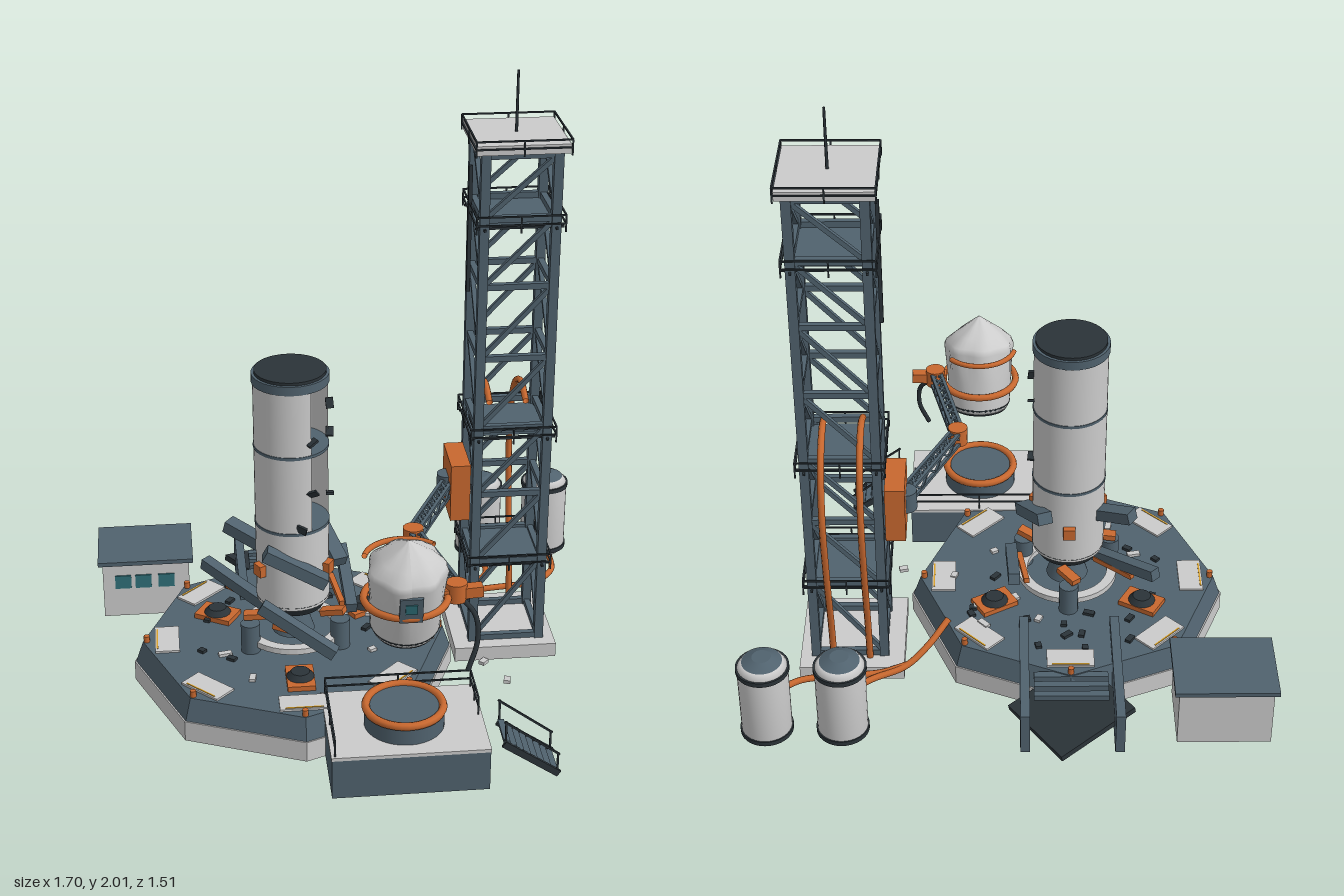
import * as THREE from 'three';

const mat = (color) => new THREE.MeshStandardMaterial({ color, side: THREE.DoubleSide });
const GREY = mat(0xcccccc), SLATE = mat(0x50626e), DARK = mat(0x2b3338), ORANGE = mat(0xc8682f);
const TEAL = mat(0x2f6f78), YELLOW = mat(0xd9a028);
const V = (x, y, z) => new THREE.Vector3(x, y, z);
const rad = THREE.MathUtils.degToRad;

function add(parent, name, geo, material, x = 0, y = 0, z = 0) {
  const m = new THREE.Mesh(geo, material);
  m.name = name;
  m.position.set(x, y, z);
  parent.add(m);
  return m;
}
function group(parent, name, x = 0, y = 0, z = 0) {
  const g = new THREE.Group();
  g.name = name;
  g.position.set(x, y, z);
  parent.add(g);
  return g;
}
// box given by its two extreme corners
const block = (p, name, m, x0, x1, y0, y1, z0, z1) =>
  add(p, name, new THREE.BoxGeometry(x1 - x0, y1 - y0, z1 - z0), m, (x0 + x1) / 2, (y0 + y1) / 2, (z0 + z1) / 2);
const drum = (p, name, m, r0, r1, y0, y1, x = 0, z = 0, n = 32) =>
  add(p, name, new THREE.CylinderGeometry(r1, r0, y1 - y0, n), m, x, (y0 + y1) / 2, z);
// square bar between two points
function beam(p, name, m, a, b, w, d = w) {
  const bar = add(p, name, new THREE.BoxGeometry(w, d, a.distanceTo(b)), m);
  bar.position.copy(a).lerp(b, 0.5);
  bar.up.set(0, Math.abs(b.y - a.y) > 0.99 * a.distanceTo(b) ? 0 : 1, 0.01);
  bar.lookAt(b);
  return bar;
}
const hose = (p, name, m, pts, r) =>
  add(p, name, new THREE.TubeGeometry(new THREE.CatmullRomCurve3(pts.map((q) => V(...q))), 36, r, 8), m);
// handrail along a list of floor corners
function railing(p, pts, y, h) {
  const g = group(p, 'railing');
  pts.forEach(([x, z], i) => {
    beam(g, 'railPost', DARK, V(x, y, z), V(x, y + h, z), 0.005);
    if (!i) return;
    const [px, pz] = pts[i - 1];
    for (const k of [0.5, 1]) beam(g, 'rail', DARK, V(px, y + h * k, pz), V(x, y + h * k, z), 0.005);
    beam(g, 'railPost', DARK, V((x + px) / 2, y, (z + pz) / 2), V((x + px) / 2, y + h, (z + pz) / 2), 0.005);
  });
}
const square = (x, z, h) => [[x - h, z - h], [x + h, z - h], [x + h, z + h], [x - h, z + h], [x - h, z - h]];

function buildPad(root) {
  const pad = group(root, 'launchPad', -0.2, 0, 0);
  const oct = (name, m, r0, r1, y0, y1) =>
    add(pad, name, new THREE.CylinderGeometry(r1, r0, y1 - y0, 8).toNonIndexed(), m, 0, (y0 + y1) / 2, 0).geometry.computeVertexNormals();
  oct('padBase', GREY, 0.53, 0.53, 0, 0.07);
  oct('padDeck', SLATE, 0.525, 0.5, 0.07, 0.143);
  for (let i = 0; i < 8; i++) {
    const arm = group(pad, 'deckSector');
    arm.rotation.y = i * Math.PI / 4;
    block(arm, 'deckPlate', GREY, -0.077, 0.077, 0.14, 0.15, 0.38, 0.46);
    block(arm, 'hazardStripe', YELLOW, -0.06, 0.06, 0.15, 0.152, 0.45, 0.455);
    drum(arm, 'padLight', ORANGE, 0.01, 0.01, 0.14, 0.165, 0, 0.487, 8);
  }
  // flame trench running off the back
  const trench = group(root, 'flameTrench', -0.2, 0, 0);
  for (const s of [-1, 1]) block(trench, 'trenchWall', SLATE, s * 0.15 - 0.015, s * 0.15 + 0.015, 0.02, 0.17, -0.72, -0.24);
  beam(trench, 'trenchFloor', DARK, V(0, 0.12, -0.44), V(0, 0.03, -0.72), 0.29, 0.02);
  for (const z of [-0.58, -0.535, -0.49]) block(trench, 'trenchBar', SLATE, -0.12, 0.12, 0.12, 0.14, z - 0.012, z + 0.012);
}

function buildBooster(root) {
  const b = group(root, 'booster', -0.2, 0, 0);
  // hull with a torn opening in its upper part
  const open = (name, y0, y1, r0, r1, t0, len) =>
    add(b, name, new THREE.CylinderGeometry(r1, r0, y1 - y0, 40, 1, true, rad(t0), rad(len)), GREY, 0, (y0 + y1) / 2, 0);
  open('lowerHull', 0.3, 0.58, 0.12, 0.12, 0, 360);
  open('upperHull', 0.58, 1.075, 0.12, 0.12, 95, 293);
  for (const y of [0.58, 0.85]) drum(b, 'bulkhead', SLATE, 0.122, 0.122, y - 0.005, y + 0.005);
  drum(b, 'topCap', SLATE, 0.124, 0.124, 1.07, 1.1);
  drum(b, 'topLid', DARK, 0.115, 0.115, 1.1, 1.11);
  drum(b, 'engineSkirt', DARK, 0.1, 0.121, 0.27, 0.31);
  drum(b, 'engineBell', SLATE, 0.07, 0.035, 0.17, 0.28);
  [[0.9, 28], [0.98, 95], [0.72, 28], [0.66, 95], [0.88, 95], [0.6, 10]].forEach(([y, a], i) => {
    const flap = add(b, 'tornFlap', new THREE.BoxGeometry(0.035, 0.008, 0.025), DARK, 0.125 * Math.sin(rad(a)), y, 0.125 * Math.cos(rad(a)));
    flap.rotation.set(i, rad(a), 0.5 - i * 0.2);
  });
  // mount ring
  const ring = new THREE.Shape().absarc(0, 0, 0.168, 0, Math.PI * 2);
  ring.holes.push(new THREE.Path().absarc(0, 0, 0.135, 0, Math.PI * 2, true));
  add(b, 'mountRing', new THREE.ExtrudeGeometry(ring, { depth: 0.02, bevelEnabled: false, curveSegments: 20 }), GREY, 0, 0.165, 0).rotation.x = -Math.PI / 2;
  for (let i = 0; i < 3; i++) {
    const leg = group(b, 'landingLeg');
    leg.rotation.y = i * Math.PI * 2 / 3;
    beam(leg, 'legFairing', SLATE, V(0, 0.58, 0.118), V(0, 0.36, 0.152), 0.05, 0.04);
    beam(leg, 'legStrut', SLATE, V(0, 0.41, 0.145), V(0, 0.165, 0.285), 0.038);
    beam(leg, 'legBrace', ORANGE, V(0, 0.29, 0.1), V(0, 0.22, 0.25), 0.018);
    block(leg, 'footBase', ORANGE, -0.045, 0.045, 0.143, 0.16, 0.22, 0.35);
    drum(leg, 'foot', DARK, 0.045, 0.03, 0.16, 0.178, 0, 0.285, 16);
    const clamp = group(b, 'holdDown');
    clamp.rotation.y = (i + 0.5) * Math.PI * 2 / 3;
    drum(clamp, 'holdDownPost', SLATE, 0.032, 0.032, 0.143, 0.245, 0, 0.17, 16);
    beam(clamp, 'holdDownClaw', ORANGE, V(0, 0.245, 0.18), V(0, 0.29, 0.11), 0.035, 0.02);
    block(clamp, 'hullHinge', ORANGE, -0.02, 0.02, 0.41, 0.45, 0.11, 0.14);
  }
}

function buildTower(root) {
  const cx = 0.525, cz = -0.17, h = 0.113;
  const t = group(root, 'serviceTower');
  block(t, 'towerBase', GREY, 0.345, 0.69, 0, 0.05, -0.355, 0);
  const corners = [[1, 1], [1, -1], [-1, -1], [-1, 1]].map(([a, c]) => [cx + a * h, cz + c * h]);
  const levels = [0.06, 0.355, 0.605, 0.845, 1.09, 1.335, 1.56, 1.765];
  corners.forEach(([x, z], i) => {
    block(t, 'column', SLATE, x - 0.015, x + 0.015, 0.05, 1.77, z - 0.015, z + 0.015);
    const [nx, nz] = corners[(i + 1) % 4];
    levels.forEach((y, k) => {
      beam(t, 'crossBeam', SLATE, V(x, y, z), V(nx, y, nz), 0.02);
      if (k) {
        const up = i === 0 || i === 3 ? [x, z, nx, nz] : [nx, nz, x, z];
        const [ax, az, bx, bz] = i === 3 ? [up[2], up[3], up[0], up[1]] : up;
        const flip = i === 3;
        beam(t, 'diagonal', SLATE, V(flip ? bx : ax, levels[k - 1], flip ? bz : az), V(flip ? ax : bx, y, flip ? az : bz), 0.015);
      }
    });
  });
  for (const y of [0.355, 0.825, 1.55]) {
    block(t, 'platform', SLATE, cx - 0.11, cx + 0.11, y - 0.01, y, cz - 0.11, cz + 0.11);
    railing(t, square(cx, cz, 0.14), y - 0.03, 0.055);
    for (const s of [-1, 1]) {
      beam(t, 'railBracket', DARK, V(cx - 0.14, y - 0.02, cz + s * h), V(cx + 0.14, y - 0.02, cz + s * h), 0.007);
      beam(t, 'railBracket', DARK, V(cx + s * h, y - 0.02, cz - 0.14), V(cx + s * h, y - 0.02, cz + 0.14), 0.007);
    }
  }
  block(t, 'roof', GREY, cx - 0.145, cx + 0.145, 1.775, 1.805, cz - 0.145, cz + 0.145);
  railing(t, square(cx, cz, 0.148), 1.77, 0.05);
  drum(t, 'antenna', DARK, 0.005, 0.004, 1.8, 2, cx, cz, 8);
  // ladder on the outer side
  for (const s of [-1, 1]) beam(t, 'ladderRail', DARK, V(0.66, 0.05, cz + s * 0.03), V(0.66, 1.75, cz + s * 0.03), 0.006);
  for (let y = 0.08; y < 1.75; y += 0.04) beam(t, 'ladderRung', DARK, V(0.66, y, cz - 0.03), V(0.66, y, cz + 0.03), 0.006);
  beam(t, 'conduit', DARK, V(0.385, 1.28, cz), V(0.385, 1.7, cz), 0.012);
  // looping supply pipes
  for (const x of [0.46, 0.58])
    hose(t, 'supplyPipe', ORANGE, [[x, 0.9, -0.13], [x, 0.93, -0.22], [x, 0.87, -0.34], [x, 0.7, -0.4], [x, 0.45, -0.375], [x, 0.2, -0.32], [x, 0.05, -0.3]], 0.011);
}

function buildArm(root) {
  const arm = group(root, 'serviceArm');
  block(arm, 'armBracket', ORANGE, 0.33, 0.395, 0.5, 0.7, -0.255, -0.075);
  const pts = [V(0.34, 0.6, -0.16), V(0.17, 0.6, 0.195), V(0.255, 0.6, 0.55)];
  drum(arm, 'shoulder', SLATE, 0.035, 0.035, 0.565, 0.635, 0.33, -0.16, 16);
  for (const p of pts.slice(1)) drum(arm, 'armJoint', ORANGE, 0.033, 0.033, 0.57, 0.63, p.x, p.z, 16);
  for (let s = 0; s < 2; s++) {
    const side = pts[s + 1].clone().sub(pts[s]).cross(V(0, 1, 0)).setLength(0.016);
    const at = (k, w, y) => pts[s].clone().lerp(pts[s + 1], k).addScaledVector(side, w).add(V(0, y, 0));
    for (const w of [-1, 1]) {
      for (const y of [-0.02, 0.02]) beam(arm, 'armChord', SLATE, at(0, w, y), at(1, w, y), 0.011);
      for (let k = 0; k < 8; k++) {
        const d = k % 2 ? 0.02 : -0.02;
        beam(arm, 'armLacing', SLATE, at(k / 8, w, d), at((k + 1) / 8, w, -d), 0.007);
        beam(arm, 'armLacing', SLATE, at(k / 8, w, 0.02), at((k + 1) / 8, -w, 0.02), 0.007);
      }
    }
  }
  // capsule, tilted forward with a crumpled nose
  const c = group(root, 'capsule', 0.1, 0.485, 0.545);
  c.rotation.x = 0.2;
  const prof = [[0, 0], [0.1, 0], [0.106, 0.015], [0.112, 0.12], [0.119, 0.225], [0.112, 0.245], [0.08, 0.275], [0.04, 0.305], [0, 0.335]];
  const geo = new THREE.LatheGeometry(prof.map((q) => new THREE.Vector2(...q)), 40);
  const pos = geo.attributes.position;
  for (let i = 0; i < pos.count; i++) {
    const x = pos.getX(i), y = pos.getY(i), z = pos.getZ(i);
    const k = y > 0.15 ? 1 + 0.05 * Math.sin(7 * Math.atan2(z, x) + y * 30) : 1;
    pos.setXYZ(i, x * k, y, z * k);
  }
  geo.computeVertexNormals();
  add(c, 'capsuleShell', geo, GREY);
  drum(c, 'heatShield', DARK, 0.095, 0.108, -0.008, 0.018);
  block(c, 'hatch', SLATE, -0.035, 0.035, 0.12, 0.21, 0.1, 0.122);
  block(c, 'hatchWindow', TEAL, -0.018, 0.018, 0.155, 0.19, 0.12, 0.125);
  // gripping rings
  const grip = (name, y, r, start, len, tube) => {
    const m = add(arm, name, new THREE.TorusGeometry(r, tube, 8, 36, len), ORANGE, 0.1, y, 0.555);
    m.rotation.set(Math.PI / 2, 0, start);
  };
  grip('gripRing', 0.59, 0.127, 0, Math.PI * 2, 0.012);
  grip('upperGrip', 0.72, 0.125, -2.9, 2.2, 0.009);
  beam(arm, 'gripLink', ORANGE, V(0.215, 0.595, 0.555), V(0.335, 0.6, 0.55), 0.035);
  hose(arm, 'hangingCable', DARK, [[0.27, 0.58, 0.56], [0.31, 0.53, 0.585], [0.315, 0.45, 0.6], [0.285, 0.36, 0.62]], 0.008);
}

function buildGround(root) {
  // capsule stand with drum and stairs
  const s = group(root, 'capsuleStand');
  block(s, 'standBlock', SLATE, -0.14, 0.345, 0, 0.135, 0.37, 0.73);
  block(s, 'standTop', GREY, -0.142, 0.347, 0.135, 0.146, 0.368, 0.732);
  drum(s, 'cradle', SLATE, 0.125, 0.125, 0.146, 0.21, 0.1, 0.56);
  add(s, 'cradleRim', new THREE.TorusGeometry(0.12, 0.013, 8, 36), ORANGE, 0.1, 0.21, 0.56).rotation.x = Math.PI / 2;
  railing(s, [[0.335, 0.38], [-0.13, 0.38], [-0.13, 0.72]], 0.146, 0.06);
  railing(s, [[0.335, 0.38], [0.335, 0.54]], 0.146, 0.06);
  for (let i = 0; i < 8; i++) {
    const x = 0.395 + i * 0.022, y = 0.13 - i * 0.017;
    block(s, 'stairTread', SLATE, x, x + 0.019, y - 0.012, y, 0.55, 0.67);
  }
  for (const z of [0.55, 0.67]) {
    beam(s, 'stairStringer', DARK, V(0.395, 0.12, z), V(0.57, 0, z), 0.01, 0.022);
    beam(s, 'stairRail', DARK, V(0.395, 0.2, z), V(0.57, 0.07, z), 0.006);
    for (const k of [0, 1]) beam(s, 'stairPost', DARK, V(0.4 + k * 0.165, 0.12 - k * 0.11, z), V(0.4 + k * 0.165, 0.2 - k * 0.13, z), 0.006);
  }
  // control hut
  const hut = group(root, 'controlHut');
  block(hut, 'hutWalls', GREY, -0.835, -0.535, 0, 0.205, -0.655, -0.42);
  block(hut, 'hutRoof', SLATE, -0.85, -0.52, 0.205, 0.22, -0.67, -0.405);
  for (const x of [-0.765, -0.695, -0.615]) block(hut, 'hutWindow', TEAL, x - 0.028, x + 0.028, 0.11, 0.16, -0.43, -0.415);
  // propellant tanks
  for (const x of [0.525, 0.765]) {
    const t = group(root, 'tank', x, 0, -0.66);
    const prof = [[0, 0.045], [0.06, 0.05], [0.08, 0.07], [0.08, 0.33], [0.065, 0.352], [0, 0.368]];
    add(t, 'tankShell', new THREE.LatheGeometry(prof.map((q) => new THREE.Vector2(...q)), 32), GREY);
    for (const y of [0.08, 0.325]) drum(t, 'tankBand', DARK, 0.084, 0.084, y - 0.008, y + 0.008);
    drum(t, 'tankCap', SLATE, 0.064, 0.03, 0.352, 0.37);
  }
  hose(root, 'fuelHose', ORANGE, [[0.53, 0.06, -0.6], [0.53, 0.05, -0.5], [0.46, 0.05, -0.42], [0.34, 0.06, -0.36], [0.27, 0.1, -0.31], [0.2, 0.15, -0.23]], 0.011);
  hose(root, 'fuelHose', ORANGE, [[0.78, 0.06, -0.6], [0.77, 0.05, -0.5], [0.69, 0.05, -0.42], [0.55, 0.05, -0.395], [0.42, 0.05, -0.38], [0.33, 0.06, -0.35]], 0.011);
  // scattered debris
  let seed = 7;
  const rnd = () => (seed = (seed * 16807) % 2147483647) / 2147483647;
  for (let i = 0; i < 26; i++) {
    const a = rnd() * 6.28, r = 0.2 + rnd() * 0.2;
    const m = add(root, 'debris', new THREE.BoxGeometry(0.02 + rnd() * 0.025, 0.01, 0.02), i % 3 ? DARK : GREY, -0.2 + r * Math.cos(a), 0.15, r * Math.sin(a));
    m.rotation.y = rnd() * 6;
  }
  for (const [x, z] of [[0.44, 0.02], [0.5, 0.14], [0.37, 0.21]])
    add(root, 'debris', new THREE.BoxGeometry(0.03, 0.012, 0.022), GREY, x, 0.006, z).rotation.y = x * 9;
}

export function createModel() {
  const root = new THREE.Group();
  root.name = 'launchSite';
  for (const build of [buildPad, buildBooster, buildTower, buildArm, buildGround]) build(root);
  return root;
}
